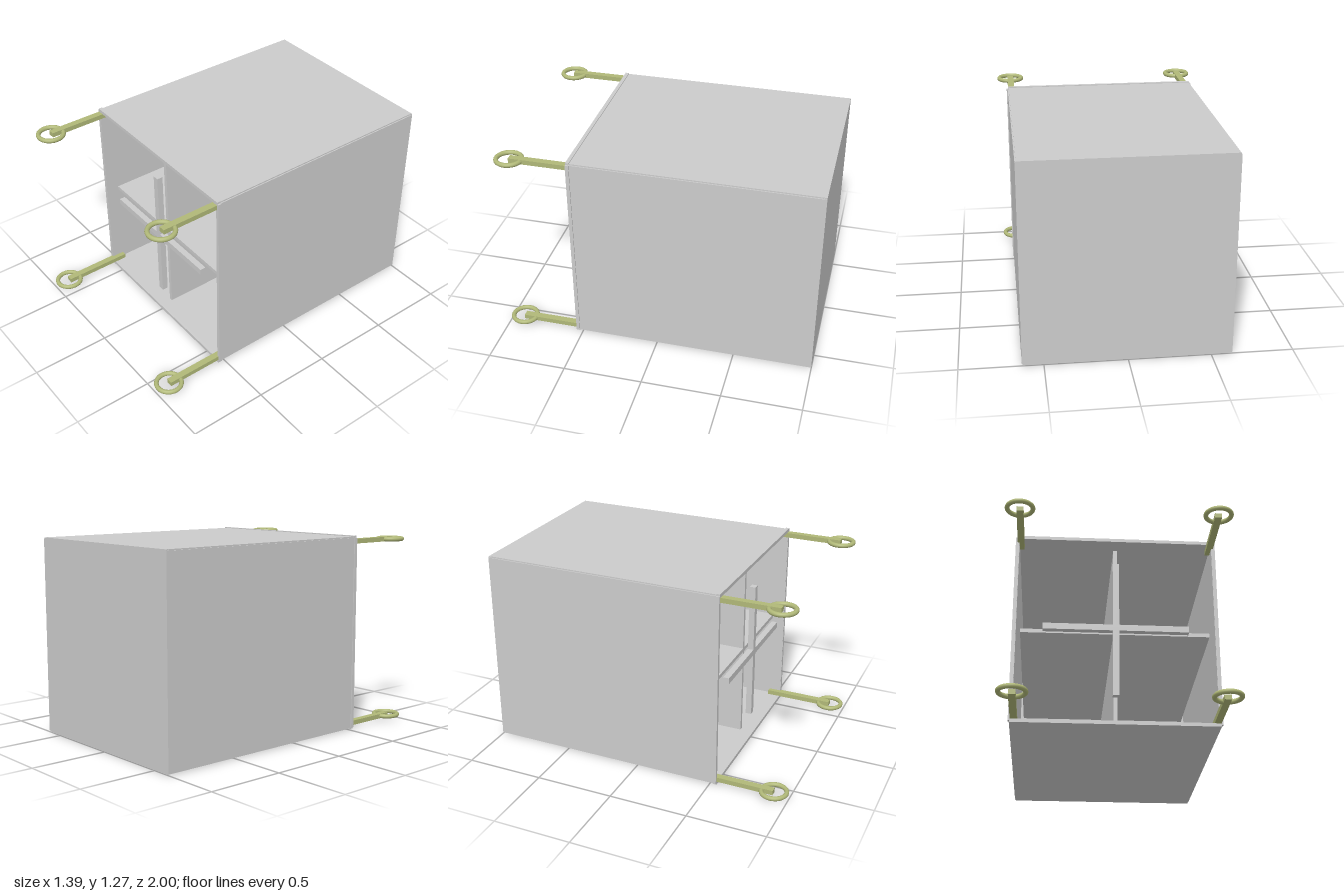
import * as THREE from 'three';

const grey = new THREE.MeshStandardMaterial({ color: 0xcccccc, flatShading: true });
const olive = new THREE.MeshStandardMaterial({ color: 0xb0b878, flatShading: true });
const oliveSmooth = new THREE.MeshStandardMaterial({ color: 0xb0b878 });

export function createModel() {
  const model = new THREE.Group();

  // Box given by its minimum and maximum along each axis
  function slab(name, [x0, x1], [y0, y1], [z0, z1], material = grey) {
    const mesh = new THREE.Mesh(new THREE.BoxGeometry(x1 - x0, y1 - y0, z1 - z0), material);
    mesh.position.set((x0 + x1) / 2, (y0 + y1) / 2, (z0 + z1) / 2);
    mesh.name = name;
    model.add(mesh);
  }
  const span = (centre, size) => [centre - size / 2, centre + size / 2];

  const midY = 0.64, back = -1, front = 0.54;

  // Open-fronted cabinet shell
  slab('backPanel', [-0.625, 0.625], [0.012, 1.268], [back, back + 0.02]);
  slab('floorPanel', [-0.622, 0.622], [0.007, 0.025], [back, front]);
  slab('topPanel', [-0.622, 0.622], [1.255, 1.271], [back, front]);
  for (const s of [-1, 1]) {
    const side = s < 0 ? 'right' : 'left';
    slab(side + 'Panel', span(s * 0.62, 0.018), [0.015, 1.263], [back, front]);
    // Raised lip around the opening
    slab(side + 'Lip', span(s * 0.624, 0.022), [0.015, 1.263], [front - 0.02, front + 0.002]);
    slab(s < 0 ? 'bottomLip' : 'topLip', [-0.625, 0.625],
      span(midY + s * 0.625, 0.022), [front - 0.02, front + 0.003]);
  }

  // Inner dividers
  slab('verticalDivider', span(0, 0.025), span(midY, 1.18), [-0.95, 0.47]);
  slab('horizontalDivider', span(0, 1.175), span(midY, 0.025), [-0.95, 0.47]);

  // Cross trim in front of the dividers
  slab('verticalTrim', span(0, 0.04), span(midY, 0.9), [0.505, front + 0.003]);
  slab('horizontalTrim', span(0, 0.9), span(midY, 0.04), [0.505, front + 0.003]);

  // Corner rods, each ending in a flat ring
  for (const x of [-0.602, 0.602]) {
    for (const y of [0.04, 1.24]) {
      slab('cornerRod', span(x, 0.042), span(y, 0.03), [0.46, 0.905], olive);
      const ring = new THREE.Mesh(new THREE.TorusGeometry(0.078, 0.0145, 12, 32), oliveSmooth);
      ring.rotation.x = Math.PI / 2;
      ring.position.set(x, y, 0.907);
      ring.name = 'rodRing';
      model.add(ring);
    }
  }
  return model;
}
